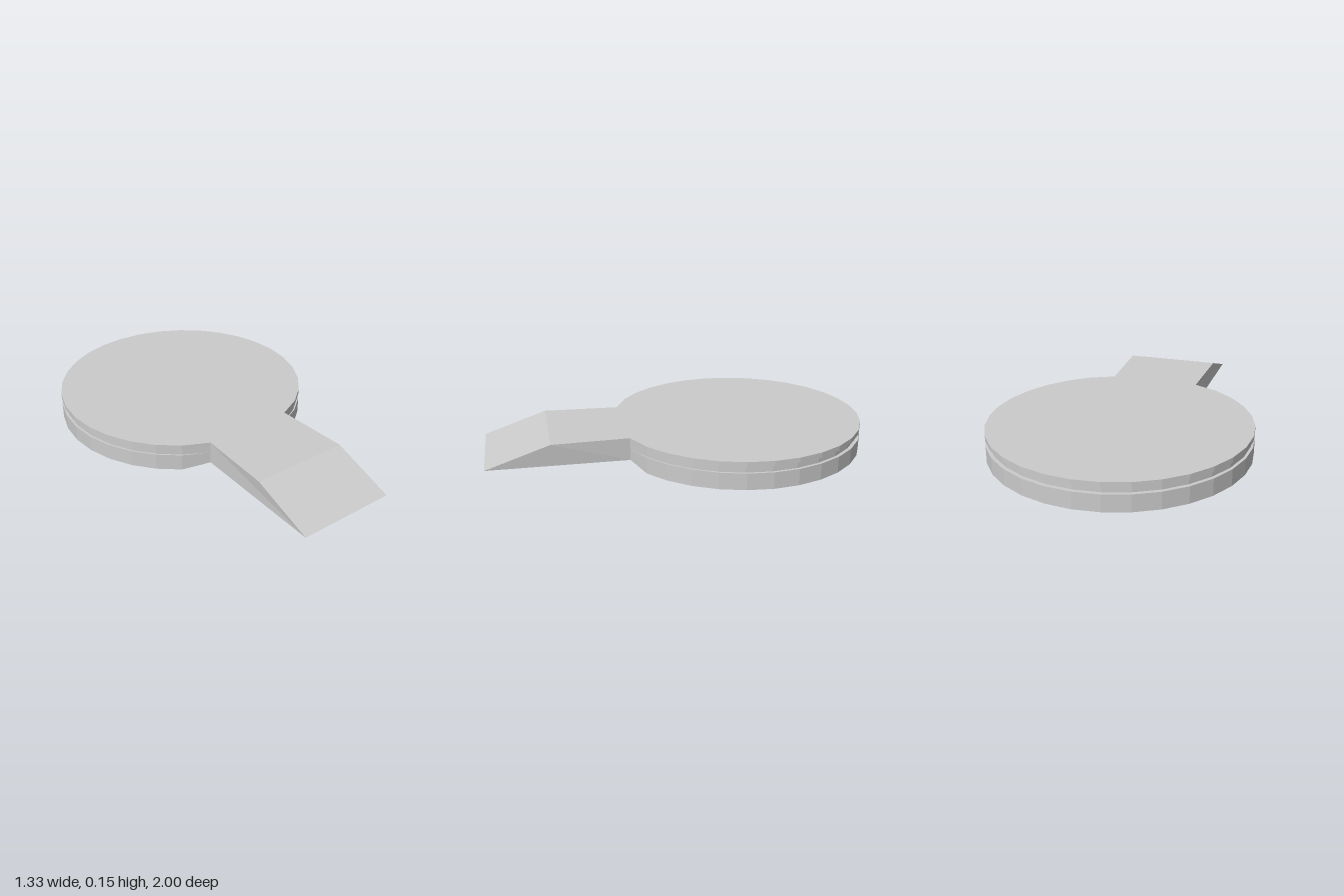
import * as THREE from 'three';

const SIDES = 32, CZ = -0.335, R = 0.665, TOP = 0.143;

// Makes a flat-shaded mesh from convex polygons, each fanned into triangles
function polyMesh(name, polygons) {
  const pos = [];
  for (const p of polygons)
    for (let i = 1; i < p.length - 1; i++) pos.push(...p[0], ...p[i], ...p[i + 1]);
  const geo = new THREE.BufferGeometry();
  geo.setAttribute('position', new THREE.Float32BufferAttribute(pos, 3));
  geo.computeVertexNormals();
  const mesh = new THREE.Mesh(geo, new THREE.MeshStandardMaterial({
    color: 0xcccccc, flatShading: true, side: THREE.DoubleSide }));
  mesh.name = name;
  return mesh;
}

// Open ring of points that starts and ends at the neck of the ramp
function arc(y, radius = R, cz = CZ, neckY = y) {
  const pts = [];
  for (let i = 2; i <= SIDES - 2; i++) {
    const a = (i / SIDES) * Math.PI * 2;
    pts.push([Math.sin(a) * radius, y, cz + Math.cos(a) * radius]);
  }
  pts[0] = [0.24, neckY, 0.28];
  pts[pts.length - 1] = [-0.24, neckY, 0.28];
  return pts;
}

function band(lower, upper) {
  return lower.slice(1).map((p, i) => [lower[i], p, upper[i + 1], upper[i]]);
}

export function createModel() {
  const group = new THREE.Group();

  // Thin wall of the hollow disc, with a groove that fades out at the neck
  const loops = [
    arc(0, R, CZ, 0.025), arc(0.085), arc(0.085, 0.652, -0.328),
    arc(0.118, 0.652, -0.328), arc(0.118), arc(TOP),
  ];
  const walls = [];
  for (let i = 1; i < loops.length; i++) walls.push(...band(loops[i - 1], loops[i]));
  group.add(polyMesh('discWall', walls));

  // Flat lid; the disc is open underneath
  const rim = loops[5];
  group.add(polyMesh('discLid', rim.map((p, i) => [[0, TOP, CZ], p, rim[(i + 1) % rim.length]])));

  // Ramp corners, mirrored by the sign s
  const neckLow = s => [s * 0.24, 0.025, 0.28];
  const neckMid = s => [s * 0.13, 0.037, 0.317];
  const neckTop = s => [s * 0.24, TOP, 0.28];
  const crest = s => [s * 0.255, 0.146, 0.675];
  const tip = s => [s * 0.254, 0.037, 1];
  const side = s => [neckLow(s), neckTop(s), crest(s), tip(s)];

  // Hollow tongue with a sloping front, open towards the disc
  group.add(polyMesh('ramp', [
    [neckTop(-1), crest(-1), crest(1), neckTop(1)],
    [crest(-1), tip(-1), tip(1), crest(1)],
    side(1), side(-1).reverse(),
    [tip(-1), neckLow(-1), neckMid(-1)],
    [tip(-1), neckMid(-1), neckMid(1), tip(1)],
    [tip(1), neckMid(1), neckLow(1)],
  ]));
  return group;
}
